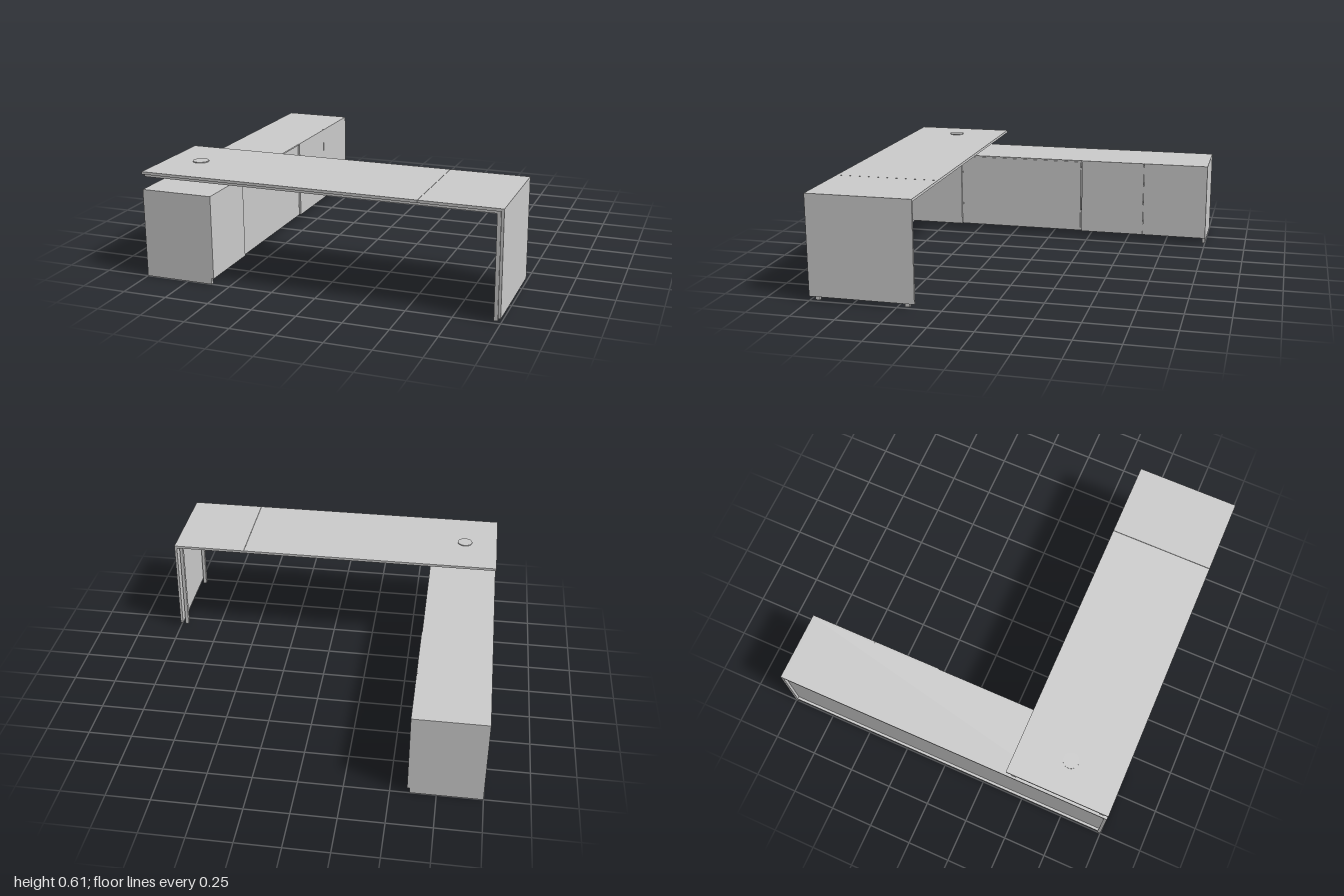
import * as THREE from 'three';

const grey = new THREE.MeshStandardMaterial({ color: 0xcccccc });

// Box given by its extents on each axis
function slab(parent, name, [x0, x1], [y0, y1], [z0, z1]) {
  const mesh = new THREE.Mesh(new THREE.BoxGeometry(x1 - x0, y1 - y0, z1 - z0), grey);
  mesh.position.set((x0 + x1) / 2, (y0 + y1) / 2, (z0 + z1) / 2);
  mesh.name = name;
  parent.add(mesh);
  return mesh;
}

function makeDesk() {
  const desk = new THREE.Group();
  desk.name = 'desk';

  // Worktop in two pieces with a fine seam, folding down into the side panel
  slab(desk, 'mainTop', [-1, 0.558], [0.585, 0.6], [0.4, 1]);
  slab(desk, 'endTop', [0.56, 1], [0.585, 0.6], [0.4, 1]);
  slab(desk, 'sidePanel', [0.985, 1], [0.025, 0.585], [0.4, 1]);

  // Two L-shaped frames: rail under the top, leg behind the panel
  for (const z of [0.447, 0.96]) {
    const zs = [z - 0.013, z + 0.013];
    slab(desk, 'topRail', [-1, 0.978], [0.565, 0.585], zs);
    slab(desk, 'leg', [0.958, 0.978], [0, 0.565], zs);
  }

  // Cable port through the worktop
  const port = new THREE.Group();
  port.name = 'cablePort';
  const sleeve = new THREE.Mesh(new THREE.CylinderGeometry(0.042, 0.042, 0.08, 32), grey);
  sleeve.name = 'portSleeve';
  sleeve.position.y = 0.56;
  const cap = new THREE.Mesh(new THREE.CylinderGeometry(0.045, 0.045, 0.005, 32), grey);
  cap.name = 'portCap';
  cap.position.y = 0.6025;
  port.add(sleeve, cap);
  port.position.set(-0.8, 0, 0.7);
  desk.add(port);
  return desk;
}

function makeCabinet() {
  const cabinet = new THREE.Group();
  cabinet.name = 'cabinet';
  const inner = [-0.982, 0.982];

  // End panels reach the floor and carry the top and bottom boards
  for (const s of [-1, 1]) {
    const zs = s < 0 ? [-1, -0.982] : [0.982, 1];
    slab(cabinet, 'endPanel', [-1, -0.606], [0, 0.5], zs);
  }
  slab(cabinet, 'topBoard', [-1, -0.606], [0.485, 0.5], inner);
  slab(cabinet, 'bottomBoard', [-1, -0.606], [0.035, 0.05], inner);

  // Recessed panel on the outer side
  slab(cabinet, 'backPanel', [-0.985, -0.975], [0.05, 0.485], inner);

  // Fronts on the inner side: flush doors at both ends, set-back middle
  const fronts = [[-1, -0.601], [-0.599, -0.2], [0.61, 1]];
  for (const zs of fronts) slab(cabinet, 'door', [-0.606, -0.593], [0.033, 0.5], zs);
  slab(cabinet, 'middleFront', [-0.618, -0.6], [0.035, 0.49], [-0.19, 0.6]);
  slab(cabinet, 'middleTopEdge', [-0.606, -0.596], [0.492, 0.5], [-0.2, 0.61]);

  // Dividers beside the middle bay
  for (const z of [-0.2, 0.61]) {
    slab(cabinet, 'divider', [-0.975, -0.606], [0.05, 0.485], [z - 0.008, z + 0.008]);
  }
  return cabinet;
}

export function createModel() {
  const model = new THREE.Group();
  model.name = 'cornerDesk';
  model.add(makeDesk(), makeCabinet());
  return model;
}
